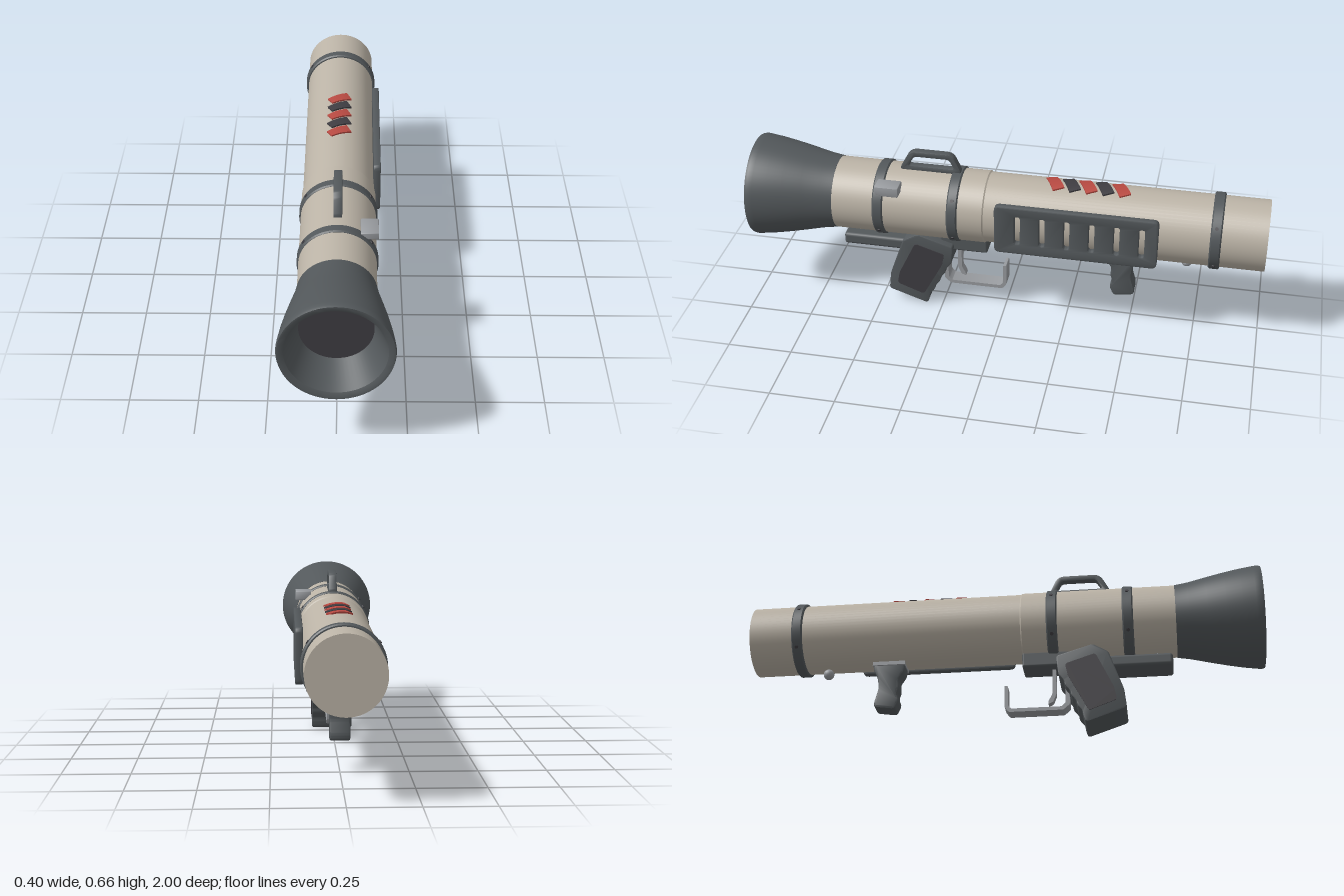
import * as THREE from 'three';
import { toCreasedNormals } from 'three/addons/utils/BufferGeometryUtils.js';
import { RoundedBoxGeometry } from 'three/addons/geometries/RoundedBoxGeometry.js';

const AXIS = 0.44; // height of the tube's centre line
const R = 0.137;   // tube radius

const mat = (name, color) => {
  const m = new THREE.MeshStandardMaterial({ color });
  m.name = name;
  return m;
};

// Traces a polygon with rounded corners into a Shape or Path
function rounded(pts, r, path = new THREE.Shape()) {
  const v = pts.map(p => new THREE.Vector2(...p));
  v.forEach((p, i) => {
    const toward = q => p.clone().add(q.clone().sub(p).setLength(Math.min(r, p.distanceTo(q) * 0.45)));
    const a = toward(v[(i + v.length - 1) % v.length]);
    const b = toward(v[(i + 1) % v.length]);
    if (i === 0) path.moveTo(a.x, a.y); else path.lineTo(a.x, a.y);
    path.quadraticCurveTo(p.x, p.y, b.x, b.y);
  });
  path.closePath();
  return path;
}

// Extrudes a side outline of (z, y) points across x
function sideExtrude(shape, width, x = 0, bevel = 0) {
  const g = new THREE.ExtrudeGeometry(shape, {
    depth: width - 2 * bevel, curveSegments: 5, bevelEnabled: bevel > 0,
    bevelSize: bevel, bevelThickness: bevel, bevelOffset: -bevel, bevelSegments: 2,
  });
  g.translate(0, 0, -width / 2 + bevel);
  g.rotateY(-Math.PI / 2);
  g.translate(x, 0, 0);
  return toCreasedNormals(g, 0.6);
}

// Turns a (radius, z) profile around the tube's axis
function turned(profile, segments = 64) {
  const g = new THREE.LatheGeometry(profile.map(p => new THREE.Vector2(...p)), segments);
  g.rotateX(Math.PI / 2);
  g.translate(0, AXIS, 0);
  return toCreasedNormals(g, 0.5);
}

export function createModel() {
  const group = new THREE.Group();
  group.name = 'shoulderTube';
  const tan = mat('tan', 0xbbb3a6);
  const metal = mat('darkMetal', 0x53585b);
  const dark = mat('charcoal', 0x3f3d42);
  const red = mat('red', 0xb84a42);
  const steel = mat('lightSteel', 0x989b9f);
  const add = (name, geometry, material) => {
    const mesh = new THREE.Mesh(geometry, material);
    mesh.name = name;
    group.add(mesh);
    return mesh;
  };

  // Tube with a slightly wider forward sleeve
  add('tube', turned([[0, -1], [R, -1], [R, 0.07], [0.141, 0.075], [0.141, 0.68]]), tan);

  // Flared muzzle with a recessed closing disc
  add('muzzleBell', turned([
    [0.136, 0.668], [0.142, 0.668], [0.15, 0.72], [0.166, 0.79], [0.181, 0.86], [0.192, 0.92],
    [0.199, 0.97], [0.201, 0.99], [0.198, 1], [0.19, 1], [0.175, 0.992], [0.128, 0.865],
  ]), metal);
  const disc = new THREE.CircleGeometry(0.131, 64);
  disc.translate(0, AXIS, 0.868);
  add('muzzleDisc', disc, dark);

  // Clamping bands with small screws
  for (const z of [0.485, 0.192, -0.81]) {
    add('band', turned([
      [0.13, z - 0.021], [0.142, z - 0.021], [0.147, z - 0.016],
      [0.147, z + 0.016], [0.142, z + 0.021], [0.13, z + 0.021],
    ]), metal);
    for (const side of [-1, 1]) for (const up of [-1, 1]) {
      const screw = add('bandScrew', new THREE.CylinderGeometry(0.007, 0.007, 0.006, 10), dark);
      const a = up * 0.6;
      screw.position.set(side * Math.cos(a) * 0.147, AXIS + Math.sin(a) * 0.147, z);
      screw.rotation.z = -side * (Math.PI / 2 - a);
    }
  }

  // Carrying handle
  const handle = rounded([[0.425, 0.575], [0.378, 0.66], [0.212, 0.66], [0.172, 0.575]], 0.025);
  handle.holes.push(rounded([[0.388, 0.597], [0.362, 0.638], [0.226, 0.638], [0.205, 0.597]], 0.012, new THREE.Path()));
  add('carryHandle', sideExtrude(handle, 0.032, 0, 0.004), metal);

  // Slotted guard plate on the left side
  const plate = rounded([[0.022, 0.34], [0.022, 0.545], [-0.6, 0.545], [-0.6, 0.34]], 0.022);
  for (let i = 0; i < 6; i++) {
    const z = -0.067 - i * 0.0945;
    plate.holes.push(rounded([[z - 0.011, 0.385], [z + 0.011, 0.385], [z + 0.011, 0.505], [z - 0.011, 0.505]],
      0.011, new THREE.Path()));
  }
  add('guardPlate', sideExtrude(plate, 0.028, 0.147, 0.005), metal);

  // Sight block
  const sight = rounded([[0.49, 0.538], [0.49, 0.566], [0.397, 0.566], [0.397, 0.528], [0.47, 0.528]], 0.005);
  add('sightBlock', sideExtrude(sight, 0.065, 0.115, 0.003), steel);

  // Slanted stripes wrapped over the top of the tube
  for (let i = 0; i < 5; i++) {
    const g = new THREE.BoxGeometry(0.086, 0.008, 0.045, 10, 1, 1);
    g.rotateY(0.45);
    const p = g.attributes.position;
    for (let k = 0; k < p.count; k++) {
      p.setY(k, AXIS + Math.sqrt(R * R - p.getX(k) ** 2) + p.getY(k) + 0.002);
    }
    g.translate(0, 0, -0.44 + i * 0.0635);
    add('stripe', toCreasedNormals(g, 0.5), i % 2 ? dark : red);
  }

  // Rail under the front, its knob, and the rear sling stud
  const rail = add('lowerRail', new RoundedBoxGeometry(0.124, 0.048, 0.26, 2, 0.012), metal);
  rail.position.set(0, 0.258, 0.52);
  for (const [z, y] of [[0.59, 0.288], [-0.705, 0.286]]) {
    add('stud', new THREE.SphereGeometry(0.021, 20, 14), steel).position.set(0, y, z);
  }

  // Trigger housing
  const housing = add('triggerHousing', new RoundedBoxGeometry(0.11, 0.062, 0.19, 2, 0.008), metal);
  housing.position.set(0, 0.285, 0.165);

  // Main grip with ridged back edge and dark side panels
  const back = [];
  for (let i = 0; i <= 8; i++) {
    const t = i / 8, bump = i % 2 ? -0.007 : 0.004;
    back.push([0.216 + 0.09 * t - bump, 0.2 - 0.17 * t + bump * 0.5]);
  }
  const grip = rounded([
    [0.346, 0.325], [0.203, 0.282], [0.21, 0.215], ...back,
    [0.312, 0.002], [0.468, 0.055], [0.46, 0.13], [0.405, 0.29],
  ], 0.012);
  add('mainGrip', sideExtrude(grip, 0.164, 0, 0.004), metal);
  const panel = rounded([[0.355, 0.283], [0.238, 0.245], [0.248, 0.195], [0.325, 0.048], [0.432, 0.088], [0.422, 0.14]], 0.012);
  for (const side of [-1, 1]) add('gripPanel', sideExtrude(panel, 0.006, side * 0.082), dark);

  // Trigger guard strip and trigger
  const guard = rounded([
    [0.25, 0.2], [0.25, 0.1], [0.225, 0.078], [0.015, 0.078], [-0.002, 0.1], [-0.002, 0.188],
    [0.012, 0.188], [0.012, 0.105], [0.024, 0.092], [0.218, 0.092], [0.234, 0.108], [0.234, 0.2],
  ], 0.006);
  add('triggerGuard', sideExtrude(guard, 0.06), steel);
  const trigger = rounded([
    [0.198, 0.26], [0.198, 0.15], [0.185, 0.118], [0.165, 0.11], [0.168, 0.125], [0.182, 0.15], [0.184, 0.26],
  ], 0.006);
  add('trigger', sideExtrude(trigger, 0.03), steel);

  // Rear hand grip under a mounting plate
  const rear = rounded([
    [-0.394, 0.31], [-0.396, 0.27], [-0.42, 0.235], [-0.414, 0.205], [-0.425, 0.175], [-0.413, 0.15],
    [-0.43, 0.11], [-0.51, 0.122], [-0.512, 0.145], [-0.496, 0.2], [-0.5, 0.245], [-0.518, 0.28], [-0.518, 0.31],
  ], 0.014);
  add('rearGrip', sideExtrude(rear, 0.075, 0, 0.008), metal);
  const mount = add('rearGripMount', new THREE.BoxGeometry(0.09, 0.022, 0.128), steel);
  mount.position.set(0, 0.307, -0.456);

  return group;
}
